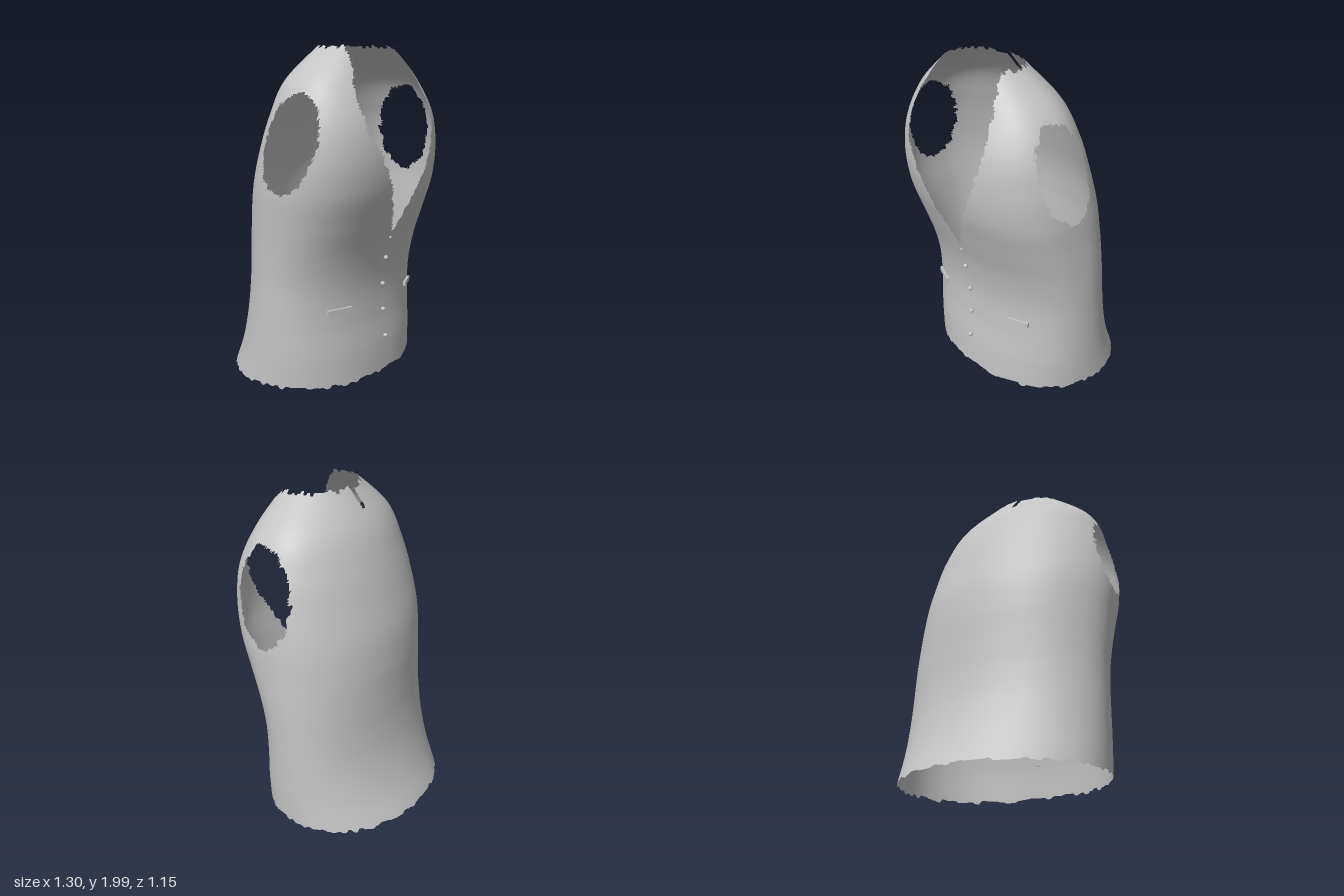
import * as THREE from 'three';

// Cross-sections every 0.2 of height: half width, front z, back z
const sections = [
  [0.63, 0.43, -0.58], [0.63, 0.42, -0.485], [0.63, 0.40, -0.42], [0.63, 0.40, -0.385],
  [0.635, 0.435, -0.37], [0.64, 0.50, -0.36], [0.645, 0.565, -0.335], [0.63, 0.59, -0.28],
  [0.585, 0.57, -0.213], [0.485, 0.485, -0.12], [0.255, 0.39, 0.04],
];
const loft = new THREE.CatmullRomCurve3(
  sections.map((s) => new THREE.Vector3(...s)), false, 'catmullrom', 0.5);

// Neck opening: height, left edge x, right edge x
const neckline = [
  [0.92, 0, 0], [1.1, -0.1, 0.1], [1.28, -0.2, 0.19], [1.43, -0.3, 0.26], [1.56, -0.38, 0.29],
  [1.66, -0.385, 0.3], [1.8, -0.36, 0.28], [1.9, -0.32, 0.25], [2.01, -0.26, 0.18],
];

// Repeatable ragged noise, -1 to 1
const hash = (n) => {
  const s = Math.sin(n * 127.1 + 3.7) * 43758.5453;
  return (s - Math.floor(s)) * 2 - 1;
};
const ragged = (t) => {
  const i = Math.floor(t);
  return THREE.MathUtils.lerp(hash(i), hash(i + 1), t - i);
};

// Point on the cloth: angle 0 is the front, PI/2 is +x
function clothPoint(angle, y) {
  const { smoothstep, clamp } = THREE.MathUtils;
  const p = loft.getPoint(clamp(y / 2, 0, 1));
  const s = Math.sin(angle), c = Math.cos(angle);
  // The chest is squarer than the round waist and back
  const n = c > 0 ? 2.25 + 0.27 * smoothstep(y, 0.6, 1.2) : 2;
  const r = Math.pow(Math.abs(s) ** n + Math.abs(c) ** n, -1 / n);
  const mid = (p.y + p.z) / 2, depth = (p.y - p.z) / 2;
  const shift = 0.012 - 0.035 * smoothstep(y, 0.6, 1.5) - 0.02 * smoothstep(y, 1.5, 2);
  return new THREE.Vector3(shift + p.x * r * s, y, mid + depth * r * c);
}

function inNeck(p, front) {
  if (!front || p.y <= neckline[0][0]) return false;
  const i = Math.max(1, neckline.findIndex((row) => row[0] >= p.y));
  const a = neckline[i - 1], b = neckline[i];
  const t = (p.y - a[0]) / (b[0] - a[0]);
  const fray = 0.012 * ragged(p.y * 28 + Math.sign(p.x) * 50);
  return p.x > THREE.MathUtils.lerp(a[1], b[1], t) + fray
    && p.x < THREE.MathUtils.lerp(a[2], b[2], t) + fray;
}

function inArmhole(p) {
  if (Math.abs(p.x) < 0.35) return false;
  const dy = p.y - 1.47;
  const dz = p.z - 0.19 - dy * 0.12;
  const fray = 0.06 * ragged(Math.atan2(dy, dz) * 9 + Math.sign(p.x) * 40);
  return Math.hypot(dz / 0.18, dy / 0.28) < 1 + fray;
}

// Slit torn down from the back of the neck
const inNotch = (p, front) => !front && p.y > 1.88 && Math.abs(p.x + 0.06) < 0.012 + (p.y - 1.88) * 0.08;

function buildBody() {
  const cols = 200, rows = 130;
  const points = [], index = [];
  for (let j = 0; j <= rows; j++) {
    for (let i = 0; i < cols; i++) {
      const hem = 0.025 + 0.012 * hash(Math.floor(i / 2) + 11);
      const top = 1.985 + 0.015 * hash(Math.floor(i / 3) + 300);
      points.push(clothPoint((i / cols) * Math.PI * 2, THREE.MathUtils.lerp(hem, top, j / rows)));
    }
  }
  const center = new THREE.Vector3();
  const addTriangle = (a, b, c, front) => {
    center.copy(points[a]).add(points[b]).add(points[c]).divideScalar(3);
    if (inNeck(center, front) || inArmhole(center) || inNotch(center, front)) return;
    index.push(a, b, c);
  };
  for (let j = 0; j < rows; j++) {
    for (let i = 0; i < cols; i++) {
      const k = (i + 1) % cols;
      const a = j * cols + i, b = j * cols + k, c = a + cols, d = b + cols;
      const front = Math.cos(((i + 0.5) / cols) * Math.PI * 2) > 0;
      addTriangle(a, b, d, front);
      addTriangle(a, d, c, front);
    }
  }
  const geometry = new THREE.BufferGeometry().setFromPoints(points);
  geometry.setIndex(index);
  geometry.computeVertexNormals();
  return geometry.toNonIndexed();
}

// Front surface point above a given x
function frontPoint(x, y) {
  let lo = -Math.PI / 2, hi = Math.PI / 2;
  for (let i = 0; i < 30; i++) {
    const m = (lo + hi) / 2;
    if (clothPoint(m, y).x < x) lo = m; else hi = m;
  }
  return clothPoint(lo, y);
}

export function createModel() {
  const model = new THREE.Group();
  model.name = 'vest';
  const cloth = new THREE.MeshStandardMaterial({ color: 0xc4c4c4, side: THREE.DoubleSide });
  cloth.name = 'grey cloth';

  const add = (name, geometry) => {
    const mesh = new THREE.Mesh(geometry, cloth);
    mesh.name = name;
    model.add(mesh);
    return mesh;
  };

  // Vest body
  add('vestBody', buildBody());

  // Buttons down the front
  const buttonGeometry = new THREE.SphereGeometry(0.014, 16, 10);
  [[0.008, 0.24], [0.002, 0.41], [-0.004, 0.575], [-0.01, 0.745], [-0.008, 0.875]].forEach(([x, y], i) => {
    const button = add('button' + (i + 1), buttonGeometry);
    button.position.copy(frontPoint(x, y));
    button.position.z += i === 4 ? 0.004 : 0.011;
    if (i === 4) button.scale.setScalar(0.6);
  });

  // Pocket welts lying along the cloth
  for (const [name, x0, x1] of [['rightPocket', -0.43, -0.28], ['leftPocket', 0.31, 0.435]]) {
    const a = frontPoint(x0, 0.485), b = frontPoint(x1, 0.485);
    const pocket = add(name, new THREE.BoxGeometry(a.distanceTo(b), 0.03, 0.02));
    pocket.position.copy(a).add(b).multiplyScalar(0.5);
    pocket.position.z += 0.008;
    pocket.rotation.y = -Math.atan2(b.z - a.z, b.x - a.x);
  }
  return model;
}
